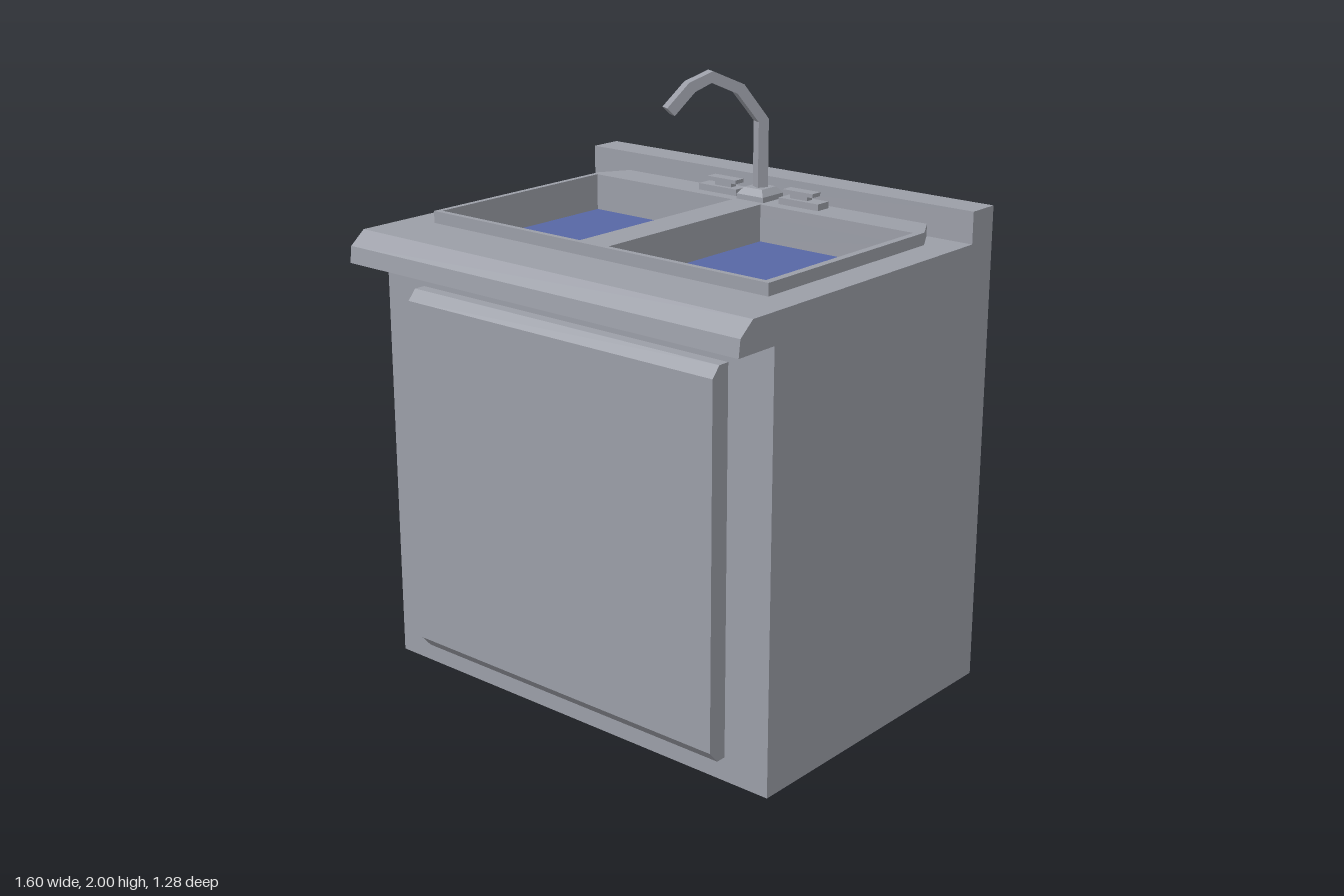
import * as THREE from 'three';

const steel = new THREE.MeshStandardMaterial({ color: 0x9b9ea7, side: THREE.DoubleSide, flatShading: true });
steel.name = 'steel';
const water = new THREE.MeshStandardMaterial({ color: 0x5767a5, side: THREE.DoubleSide, flatShading: true });
water.name = 'water blue';

function add(parent, name, geometry, material = steel) {
  const mesh = new THREE.Mesh(geometry, material);
  mesh.name = name;
  parent.add(mesh);
  return mesh;
}

// Flat triangles from a list of quads, each four [x, y, z] corners
function quads(list) {
  const pos = [];
  for (const [a, b, c, d] of list) pos.push(...a, ...b, ...c, ...a, ...c, ...d);
  const g = new THREE.BufferGeometry();
  g.setAttribute('position', new THREE.Float32BufferAttribute(pos, 3));
  g.computeVertexNormals();
  return g;
}

// Sheet swept along x, following [z, y] points
function strip(points, x0, x1) {
  return quads(points.slice(1).map(([z, y], i) => {
    const [pz, py] = points[i];
    return [[x0, py, pz], [x1, py, pz], [x1, y, z], [x0, y, z]];
  }));
}

// Flat end walls closing a [z, y] outline at both x ends
function endWalls(parent, name, points, x0, x1) {
  for (const [x, side] of [[x0, -1], [x1, 1]]) {
    const shape = new THREE.Shape(points.map(([z, y]) => new THREE.Vector2(-side * z, y)));
    add(parent, name, new THREE.ShapeGeometry(shape).rotateY(side * Math.PI / 2)).position.x = x;
  }
}

function rect(Type, x0, x1, y0, y1) {
  return new Type([[x0, y0], [x1, y0], [x1, y1], [x0, y1]].map(p => new THREE.Vector2(...p)));
}

function box(parent, name, x0, x1, y0, y1, z0, z1) {
  const m = add(parent, name, new THREE.BoxGeometry(x1 - x0, y1 - y0, z1 - z0));
  m.position.set((x0 + x1) / 2, (y0 + y1) / 2, (z0 + z1) / 2);
}

const W = 0.8, COUNTER = 1.52, RIM = 1.56, WATER = 1.435;
const basins = [[-0.67, -0.06], [0.06, 0.665]];
const BZ0 = -0.395, BZ1 = 0.35;

function basinHoles(shape) {
  for (const [x0, x1] of basins) shape.holes.push(rect(THREE.Path, x0, x1, -BZ1, -BZ0));
  return shape;
}

function makeCabinet() {
  const g = new THREE.Group();
  g.name = 'cabinet';
  const lip = [[0.48, 1.42], [0.64, 1.42], [0.633, 1.475], [0.578, COUNTER]];
  const back = [[-0.525, COUNTER], [-0.525, 1.625], [-0.64, 1.625], [-0.64, 0]];
  add(g, 'counterLip', strip(lip, -W, W));
  add(g, 'backsplashAndBack', strip(back, -W, W));
  endWalls(g, 'sideWall', [[0.48, 0], ...lip, ...back], -W, W);

  // Front wall with the door opening
  const front = rect(THREE.Shape, -W, W, 0, 1.42);
  front.holes.push(rect(THREE.Path, -0.63, 0.635, 0.08, 1.34));
  add(g, 'frontWall', new THREE.ShapeGeometry(front)).position.z = 0.48;

  // Counter top with basin openings
  const top = basinHoles(rect(THREE.Shape, -W, W, -0.578, 0.525));
  add(g, 'counterTop', new THREE.ShapeGeometry(top).rotateX(-Math.PI / 2)).position.y = COUNTER;

  // Hollow door with bevelled top and bottom
  const door = [[0.48, 0.08], [0.515, 0.08], [0.55, 0.12], [0.55, 1.305], [0.52, 1.34], [0.48, 1.34]];
  add(g, 'door', strip(door, -0.63, 0.635));
  endWalls(g, 'doorEdge', door, -0.63, 0.635);
  return g;
}

function makeSink() {
  const g = new THREE.Group();
  g.name = 'sink';
  // Raised rim with clipped rear corners
  const outline = [[-0.69, -0.37], [0.69, -0.37], [0.69, 0.42], [0.63, 0.524], [-0.63, 0.524], [-0.69, 0.42]];
  const rim = basinHoles(new THREE.Shape(outline.map(p => new THREE.Vector2(...p))));
  const rimGeo = new THREE.ExtrudeGeometry(rim, { depth: RIM - COUNTER, bevelEnabled: false });
  add(g, 'rim', rimGeo.rotateX(-Math.PI / 2)).position.y = COUNTER;

  // Inward-facing basin walls and the water surface
  for (const [x0, x1] of basins) {
    const c = [[x0, BZ0], [x1, BZ0], [x1, BZ1], [x0, BZ1]];
    add(g, 'basinWalls', quads(c.map(([x, z], i) => {
      const [nx, nz] = c[(i + 1) % 4];
      return [[x, WATER, z], [nx, WATER, nz], [nx, COUNTER, nz], [x, COUNTER, z]];
    })));
    const surface = new THREE.PlaneGeometry(x1 - x0, BZ1 - BZ0).rotateX(-Math.PI / 2);
    add(g, 'water', surface, water).position.set((x0 + x1) / 2, WATER, (BZ0 + BZ1) / 2);
  }
  return g;
}

function makeFaucet() {
  const g = new THREE.Group();
  g.name = 'faucet';
  // Tapered foot
  box(g, 'faucetFoot', -0.057, 0.055, RIM, 1.578, -0.522, -0.415);
  const cap = new THREE.CylinderGeometry(0.038 * Math.SQRT2, 0.055 * Math.SQRT2, 0.022, 4).rotateY(Math.PI / 4);
  add(g, 'faucetCap', cap).position.set(0, 1.589, -0.468);

  // Square spout swept along a bent path in a turned plane: [reach, height]
  const path = [[0, 1.59], [0, 1.825], [0.085, 1.935], [0.188, 1.981], [0.26, 1.952], [0.335, 1.877]]
    .map(p => new THREE.Vector2(...p));
  const dx = -0.43, dz = 0.903, h = 0.019;
  const rings = path.map((p, i) => {
    const a = path[Math.max(i - 1, 0)], b = path[Math.min(i + 1, path.length - 1)];
    const t = b.clone().sub(a).normalize();
    return [[-1, -1], [1, -1], [1, 1], [-1, 1]].map(([s, n]) => {
      const reach = p.x - t.y * n * h, y = p.y + t.x * n * h;
      return [dx * reach + dz * s * h, y, -0.47 + dz * reach - dx * s * h];
    });
  });
  const faces = [];
  for (let i = 1; i < rings.length; i++) {
    for (let k = 0; k < 4; k++) {
      const n = (k + 1) % 4;
      faces.push([rings[i - 1][k], rings[i - 1][n], rings[i][n], rings[i][k]]);
    }
  }
  faces.push(rings[rings.length - 1]);
  add(g, 'spout', quads(faces));

  // Mirrored tap handles
  for (const s of [-1, 1]) {
    const part = (name, a, b, ...rest) => {
      const x = [0.01 + s * a, 0.01 + s * b].sort((m, n) => m - n);
      box(g, name, ...x, ...rest);
    };
    part('handleBase', 0.09, 0.252, RIM, 1.582, -0.498, -0.44);
    part('handleStem', 0.125, 0.195, 1.582, 1.598, -0.483, -0.457);
    part('handleLever', 0.1, 0.222, 1.597, 1.61, -0.492, -0.449);
  }
  return g;
}

export function createModel() {
  const model = new THREE.Group();
  model.name = 'kitchenSinkUnit';
  model.add(makeCabinet(), makeSink(), makeFaucet());
  return model;
}
